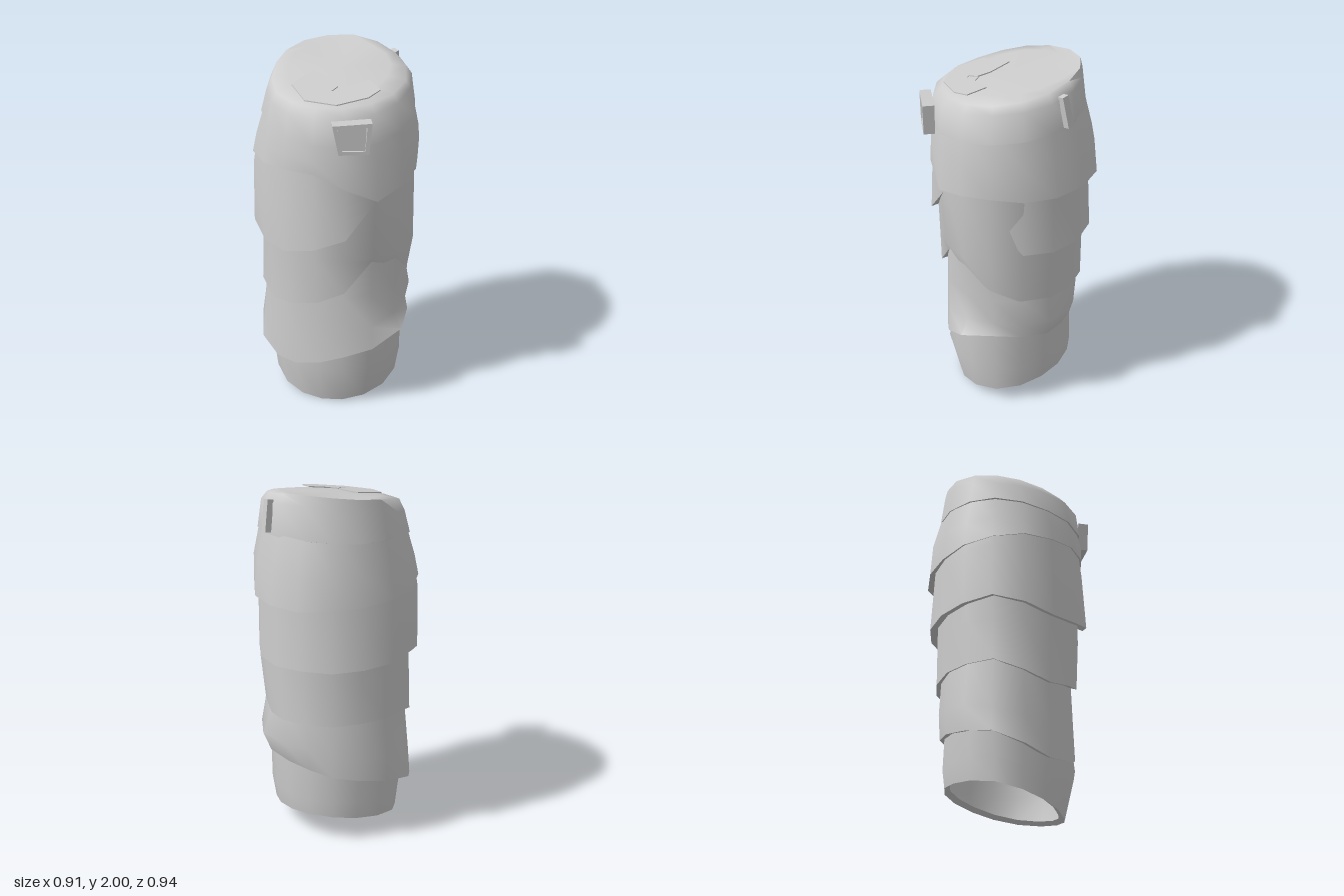
import * as THREE from 'three';
import { toCreasedNormals } from 'three/addons/utils/BufferGeometryUtils.js';

const SEGMENTS = 16;

// Smooth periodic lookup in 8 or 16 values that run front, +x, back, -x
function around(values, t) {
  if (typeof values === 'number') return values;
  const n = values.length, f = t * n, i = Math.floor(f), u = f - i;
  const v = (k) => values[(i + k + n) % n];
  const a = v(-1), b = v(0), c = v(1), d = v(2);
  return b + 0.5 * u * (c - a + u * (2 * a - 5 * b + 4 * c - d + u * (3 * (b - c) + d - a)));
}

// Loft through rows of { y, r }, listed from top to bottom
function loft(rows, crease = 0.9) {
  const positions = [], index = [];
  for (const row of rows) {
    for (let s = 0; s < SEGMENTS; s++) {
      const t = s / SEGMENTS, angle = t * Math.PI * 2, r = around(row.r, t);
      positions.push(Math.sin(angle) * r, around(row.y, t), Math.cos(angle) * r);
    }
  }
  for (let k = 0; k < rows.length - 1; k++) {
    for (let s = 0; s < SEGMENTS; s++) {
      const n = (s + 1) % SEGMENTS;
      const a = k * SEGMENTS + s, b = k * SEGMENTS + n;
      const c = a + SEGMENTS, d = b + SEGMENTS;
      index.push(a, c, d, a, d, b);
    }
  }
  const geometry = new THREE.BufferGeometry();
  geometry.setAttribute('position', new THREE.Float32BufferAttribute(positions, 3));
  geometry.setIndex(index);
  return toCreasedNormals(geometry, crease);
}

const shift = (values, d) => values.map((v) => v + d);

// A cloth wrap ends in a hem that turns inward underneath
function wrap(rows) {
  const hem = rows[rows.length - 1];
  return loft([...rows, { y: shift(hem.y, 0.02), r: shift(hem.r, -0.06) }]);
}

export function createModel() {
  const group = new THREE.Group();
  const grey = new THREE.MeshStandardMaterial({ color: 0xcccccc, side: THREE.DoubleSide });
  grey.name = 'plain grey';
  const add = (name, geometry) => {
    const mesh = new THREE.Mesh(geometry, grey);
    mesh.name = name;
    group.add(mesh);
    return mesh;
  };

  // Domed, tilted lid that runs smoothly into the top wrap
  add('lid', loft([
    { y: 1.94, r: 0 },
    { y: [1.893, 1.905, 1.935, 1.97, 1.985, 1.97, 1.945, 1.9], r: [0.27, 0.27, 0.28, 0.3, 0.31, 0.3, 0.26, 0.26] },
    { y: [1.872, 1.88, 1.92, 1.965, 2.0, 1.98, 1.94, 1.88], r: [0.365, 0.365, 0.375, 0.36, 0.36, 0.36, 0.33, 0.35] },
    { y: [1.83, 1.84, 1.88, 1.92, 1.95, 1.92, 1.87, 1.83], r: [0.41, 0.41, 0.4, 0.4, 0.375, 0.375, 0.36, 0.38] },
    { y: [1.69, 1.69, 1.73, 1.76, 1.77, 1.76, 1.75, 1.7], r: [0.425, 0.43, 0.43, 0.415, 0.395, 0.4, 0.395, 0.405] },
    { y: [1.7, 1.7, 1.72, 1.75, 1.76, 1.75, 1.74, 1.7], r: 0.37 },
  ], 1.2));

  // Overlapping wraps, top to bottom
  add('upperWrap', wrap([
    { y: [1.75, 1.75, 1.8, 1.82, 1.82, 1.82, 1.8, 1.75], r: [0.4, 0.4, 0.405, 0.4, 0.38, 0.385, 0.37, 0.385] },
    { y: 1.6, r: [0.435, 0.43, 0.455, 0.44, 0.45, 0.425, 0.43, 0.425] },
    {
      y: [1.53, 1.45, 1.36, 1.4, 1.42, 1.41, 1.41, 1.41, 1.41, 1.42, 1.43, 1.45, 1.47, 1.49, 1.5, 1.52],
      r: [0.432, 0.44, 0.445, 0.445, 0.445, 0.45, 0.46, 0.465, 0.47, 0.45, 0.44, 0.45, 0.452, 0.45, 0.435, 0.43],
    },
  ]));
  add('chestWrap', wrap([
    { y: 1.58, r: [0.415, 0.42, 0.42, 0.42, 0.41, 0.41, 0.425, 0.42] },
    { y: 1.42, r: [0.432, 0.43, 0.43, 0.425, 0.42, 0.425, 0.457, 0.435] },
    {
      y: [1.09, 1.155, 1.34, 1.37, 1.25, 1.07, 1.06, 1.06, 1.07, 1.07, 1.08, 1.09, 1.11, 1.07, 1.03, 1.04],
      r: [0.45, 0.445, 0.42, 0.41, 0.415, 0.43, 0.438, 0.44, 0.44, 0.44, 0.44, 0.45, 0.455, 0.455, 0.44, 0.445],
    },
  ]));
  add('middleWrap', wrap([
    { y: 1.45, r: [0.4, 0.425, 0.435, 0.42, 0.4, 0.4, 0.41, 0.41] },
    { y: 1.0, r: [0.4, 0.41, 0.442, 0.405, 0.4, 0.395, 0.41, 0.405] },
    {
      y: [0.72, 0.8, 0.97, 0.88, 0.78, 0.74, 0.72, 0.73, 0.74, 0.74, 0.75, 0.75, 0.75, 0.69, 0.65, 0.68],
      r: [0.385, 0.4, 0.395, 0.4, 0.41, 0.4, 0.39, 0.4, 0.4, 0.395, 0.395, 0.405, 0.42, 0.42, 0.405, 0.395],
    },
  ]));
  add('lowerWrap', wrap([
    { y: 1.0, r: [0.34, 0.395, 0.425, 0.38, 0.37, 0.37, 0.38, 0.38] },
    { y: 0.75, r: [0.34, 0.4, 0.412, 0.385, 0.365, 0.38, 0.4, 0.37] },
    { y: [0.48, 0.55, 0.6, 0.59, 0.58, 0.54, 0.48, 0.42], r: [0.35, 0.405, 0.41, 0.435, 0.37, 0.4, 0.435, 0.39] },
    {
      y: [0.3, 0.36, 0.41, 0.5, 0.52, 0.5, 0.48, 0.46, 0.44, 0.42, 0.4, 0.37, 0.34, 0.28, 0.24, 0.26],
      r: [0.36, 0.38, 0.42, 0.47, 0.425, 0.4, 0.39, 0.355, 0.345, 0.37, 0.39, 0.42, 0.455, 0.43, 0.385, 0.37],
    },
  ]));

  // Tilted foot, open below with a turned rim and hollow inside
  const footY = [0, 0.03, 0.08, 0.13, 0.16, 0.14, 0.1, 0.03];
  const footR = [0.3, 0.33, 0.36, 0.34, 0.34, 0.34, 0.36, 0.33];
  add('foot', loft([
    { y: 0.65, r: [0.32, 0.36, 0.38, 0.36, 0.33, 0.35, 0.37, 0.35] },
    { y: 0.25, r: [0.365, 0.375, 0.385, 0.36, 0.35, 0.355, 0.37, 0.365] },
    { y: footY, r: footR },
    { y: shift(footY, 0.02), r: shift(footR, -0.03) },
  ]));

  // Thin flaps lying on the sloping front of the lid
  const flap = (name, points) => {
    const shape = new THREE.Shape(points.map(([x, z]) => new THREE.Vector2(x, -z)));
    const geometry = new THREE.ExtrudeGeometry(shape, { depth: 0.006, bevelEnabled: false });
    geometry.rotateX(-Math.PI / 2);
    const p = geometry.attributes.position;
    for (let i = 0; i < p.count; i++) p.setY(i, p.getY(i) + 1.942 - 0.172 * p.getZ(i));
    geometry.computeVertexNormals();
    add(name, geometry);
  };
  flap('rightFlap', [[-0.11, 0.04], [0.01, 0.11], [0.06, 0.17], [0.04, 0.22], [0.08, 0.22], [0.1, 0.34], [-0.07, 0.33], [-0.18, 0.2]]);
  flap('leftFlap', [[0.06, 0.16], [0.11, 0.165], [0.2, 0.08], [0.28, 0.16], [0.24, 0.24], [0.1, 0.34]]);

  // Square buckle on the front, turned towards the left
  const points = (list) => list.map(([x, y]) => new THREE.Vector2(x, y));
  const frame = new THREE.Shape(points([[-0.1, 0.08], [-0.07, -0.08], [0.085, -0.085], [0.1, 0.085]]));
  frame.holes.push(new THREE.Path(points([[-0.075, 0.06], [0.075, 0.065], [0.065, -0.065], [-0.05, -0.06]])));
  const buckle = new THREE.Group();
  buckle.name = 'buckle';
  const ring = new THREE.Mesh(new THREE.ExtrudeGeometry(frame, { depth: 0.06, bevelEnabled: false }), grey);
  ring.name = 'buckleFrame';
  const plate = new THREE.Mesh(new THREE.BoxGeometry(0.14, 0.13, 0.04), grey);
  plate.name = 'bucklePlate';
  plate.position.z = 0.03;
  buckle.add(ring, plate);
  buckle.position.set(0.185, 1.75, 0.375);
  buckle.rotation.y = 0.4;
  group.add(buckle);

  // Small upright tab at the back
  const tab = add('backTab', new THREE.BoxGeometry(0.04, 0.17, 0.035));
  tab.position.set(0.232, 1.865, -0.34);
  tab.rotation.set(0.2, -0.55, 0);

  return group;
}
